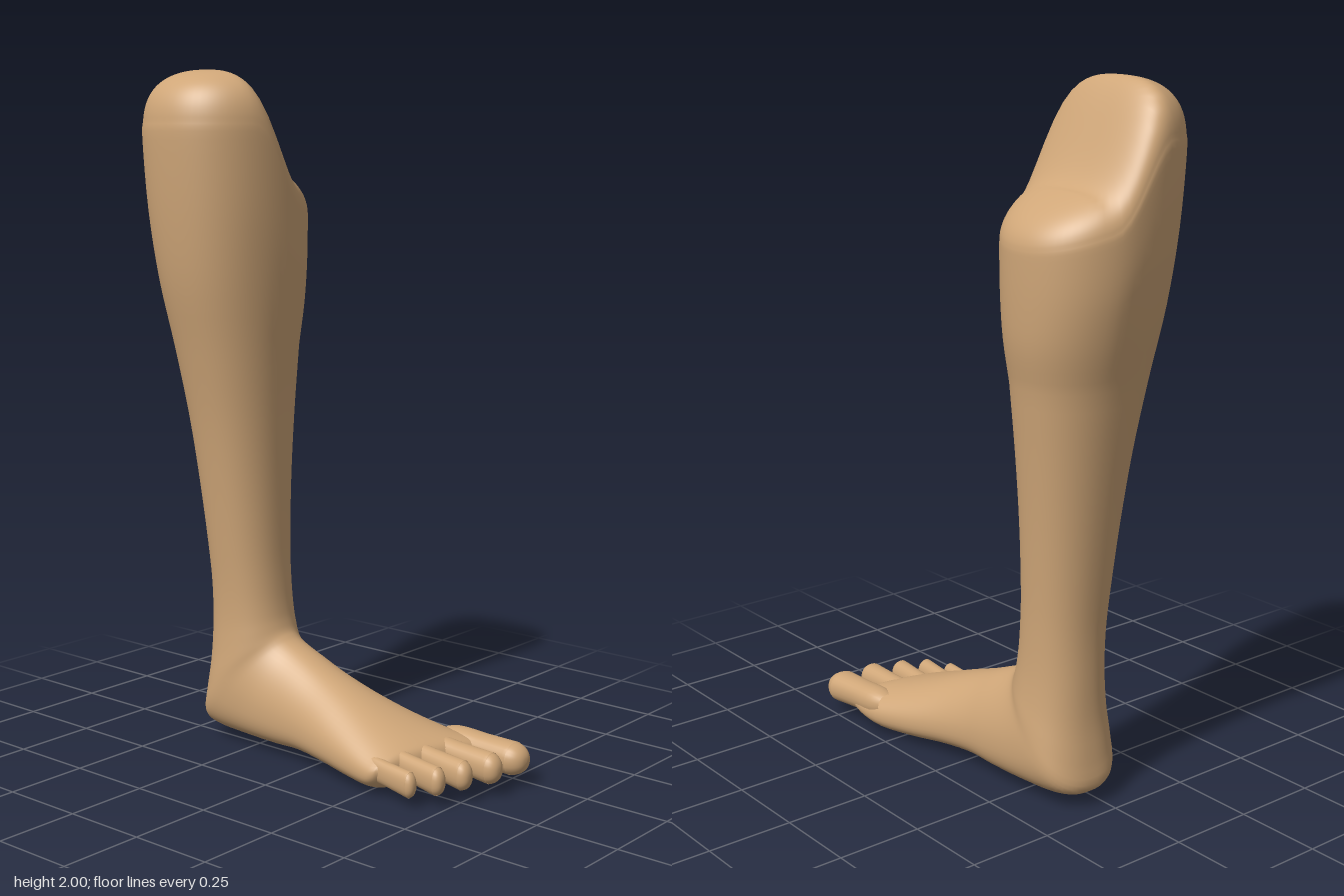
import * as THREE from 'three';

const smooth = THREE.MathUtils.smoothstep;

// Catmull-Rom value between b and c
function spline(a, b, c, d, t) {
  return 0.5 * (2 * b + (c - a) * t + (2 * a - 5 * b + 4 * c - d) * t * t + (3 * b - a - 3 * c + d) * t * t * t);
}

// Insert smooth in-between sections
function refine(rows, steps) {
  const out = [];
  const at = i => rows[Math.min(rows.length - 1, Math.max(0, i))];
  for (let i = 0; i < rows.length - 1; i++) {
    for (let k = 0; k < steps; k++) {
      out.push(rows[i].map((_, c) => spline(at(i - 1)[c], at(i)[c], at(i + 1)[c], at(i + 2)[c], k / steps)));
    }
  }
  out.push(rows[rows.length - 1]);
  return out;
}

// Skin a closed surface over sections:
// [front x, front y, back x, back y, z min, z max, sag of the widest line, sideways slant]
function loft(rows, sides, power, warp) {
  const pos = [], index = [];
  const pw = v => Math.sign(v) * Math.pow(Math.abs(v), 2 / power);
  for (const [fx, fy, bx, by, z0, z1, sag, slant] of rows) {
    for (let j = 0; j < sides; j++) {
      const a = j / sides * Math.PI * 2;
      const w = pw(Math.sin(a));
      const u = pw(Math.cos(a)) - sag * w * w;
      const z = (z0 + z1) / 2 + w * (z1 - z0) / 2;
      const x = (fx + bx) / 2 + u * (fx - bx) / 2 - slant * (z + 0.06);
      const y = (fy + by) / 2 + u * (fy - by) / 2;
      pos.push(x, warp ? warp(y, z) : y, z);
    }
  }
  for (let i = 0; i < rows.length - 1; i++) {
    for (let j = 0; j < sides; j++) {
      const k = (j + 1) % sides;
      const a = i * sides + j, b = i * sides + k, c = a + sides, d = b + sides;
      index.push(a, b, c, b, d, c);
    }
  }
  const g = new THREE.BufferGeometry();
  g.setAttribute('position', new THREE.Float32BufferAttribute(pos, 3));
  g.setIndex(index);
  g.computeVertexNormals();
  return g;
}

// The knee end is stepped: tall at the shin side, lower at the calf side
function kneeStep(y, z) {
  if (y < 1.2) return y;
  const top = 2 - 0.28 * smooth(-z, -0.1, 0.1) - 0.4 * Math.max(0, -z - 0.1);
  return 1.2 + (y - 1.2) * (top - 1.2) / 0.8;
}

function legAndFoot() {
  const rows = [];
  // rounded knee cap
  for (let i = 0; i < 14; i++) {
    const s = Math.sin(i / 14 * Math.PI / 2);
    const y = 1.8 + 0.2 * Math.pow(1 - s ** 3, 1 / 3);
    rows.push([-0.362 + 0.212 * s, y, -0.362 - 0.212 * s, y, 0.008 - 0.25 * s, 0.008 + 0.25 * s, 0, 0]);
  }
  // shin and calf: height, x range, z range
  for (const [y, x0, x1, z0, z1] of [
    [1.8, -0.575, -0.15, -0.242, 0.259],
    [1.6, -0.565, -0.155, -0.24, 0.245],
    [1.4, -0.54, -0.168, -0.232, 0.22],
    [1.2, -0.506, -0.184, -0.21, 0.178],
    [1.0, -0.476, -0.197, -0.188, 0.14],
    [0.8, -0.452, -0.204, -0.17, 0.112],
    [0.6, -0.433, -0.204, -0.157, 0.09],
    [0.48, -0.426, -0.198, -0.154, 0.08],
  ]) rows.push([x1, y, x0, y, z0, z1, 0, 0]);
  // heel fans round the front of the ankle, then the foot runs forward
  rows.push(
    [-0.19, 0.41, -0.427, 0.36, -0.156, 0.078, 0, 0],
    [-0.182, 0.375, -0.432, 0.24, -0.163, 0.083, 0.03, 0],
    [-0.174, 0.355, -0.445, 0.13, -0.172, 0.09, 0.08, 0],
    [-0.163, 0.342, -0.45, 0.055, -0.176, 0.092, 0.13, 0],
    [-0.148, 0.33, -0.40, 0.03, -0.178, 0.09, 0.18, 0],
    [-0.12, 0.315, -0.28, 0.023, -0.178, 0.085, 0.24, 0],
    [-0.075, 0.295, -0.15, 0.022, -0.178, 0.084, 0.28, 0],
    [0, 0.263, -0.05, 0.028, -0.18, 0.09, 0.3, 0],
    [0.1, 0.225, 0.06, 0.022, -0.195, 0.108, 0.3, 0],
    [0.2, 0.186, 0.18, 0.008, -0.223, 0.127, 0.27, 0.03],
    [0.29, 0.153, 0.28, 0, -0.247, 0.138, 0.2, 0.12],
    [0.34, 0.135, 0.335, 0.01, -0.252, 0.137, 0.1, 0.24],
    [0.37, 0.12, 0.365, 0.03, -0.245, 0.128, 0, 0.32],
    [0.383, 0.1, 0.381, 0.05, -0.22, 0.105, 0, 0.35],
    [0.386, 0.076, 0.386, 0.076, -0.06, -0.06, 0, 0.35],
  );
  return loft(refine(rows, 4), 64, 2.2, kneeStep);
}

// Toe from its root to a rounded tip
function toe([x0, z0, x1, z1, half, top, bottom]) {
  const rows = [];
  const length = x1 - x0, mid = (top + bottom) / 2, tall = (top - bottom) / 2;
  const add = (x, s) => {
    const f = (x - x0) / length;
    const z = z0 + (z1 - z0) * f;
    const y = mid + 0.01 * (1 - f) - 0.006 * f;
    rows.push([x, y + tall * s, x, y - tall * s, z - half * s, z + half * s, 0, 0]);
  };
  for (const [f, s] of [[0, 0.7], [0.15, 0.9], [0.35, 0.94], [0.55, 0.93]]) add(x0 + f * (length - half), s);
  for (let i = 0; i <= 8; i++) {
    const a = i / 8 * Math.PI / 2;
    add(x1 - half * 1.1 * (1 - Math.sin(a)), i === 8 ? 0 : Math.pow(Math.cos(a), 0.85));
  }
  return loft(refine(rows, 2), 24, 2.2);
}

export function createModel() {
  const group = new THREE.Group();
  group.name = 'lowerLeg';
  const skin = new THREE.MeshStandardMaterial({ color: 0xcfa678 });
  skin.name = 'skin';
  const add = (name, geometry) => {
    const mesh = new THREE.Mesh(geometry, skin);
    mesh.name = name;
    group.add(mesh);
  };

  add('legAndFoot', legAndFoot());

  // root x, root z, tip x, tip z, half width, top, bottom
  const toes = {
    bigToe: [0.30, -0.205, 0.573, -0.211, 0.049, 0.127, 0.034],
    secondToe: [0.29, -0.115, 0.56, -0.1, 0.037, 0.126, 0.037],
    middleToe: [0.28, -0.04, 0.526, -0.007, 0.032, 0.122, 0.037],
    fourthToe: [0.26, 0.03, 0.49, 0.068, 0.028, 0.117, 0.035],
    littleToe: [0.23, 0.095, 0.433, 0.122, 0.023, 0.106, 0.031],
  };
  for (const [name, spec] of Object.entries(toes)) add(name, toe(spec));
  return group;
}
